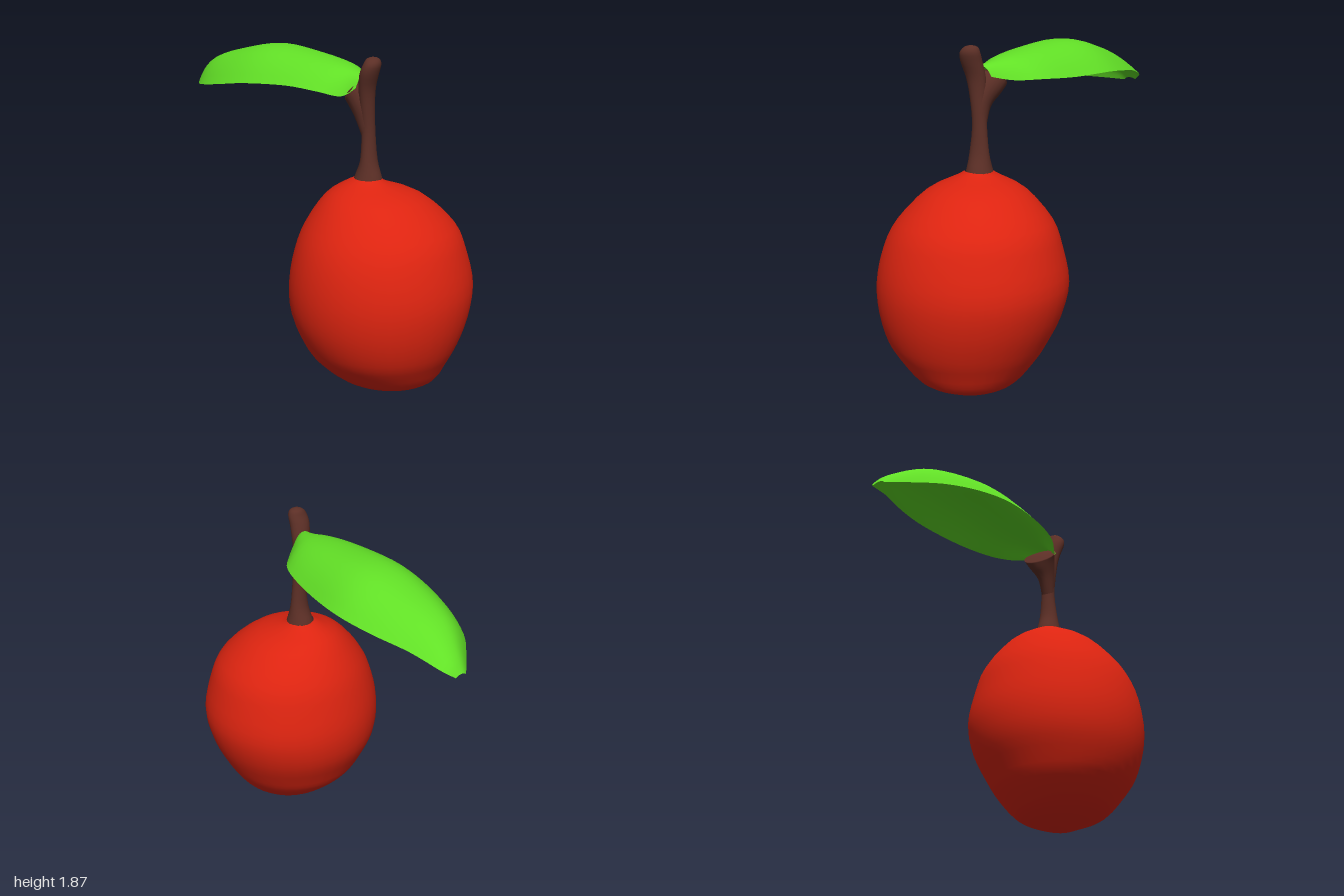
import * as THREE from 'three';

// Catmull-Rom resampling of rows of numbers
function smooth(rows, steps) {
  const out = [];
  const at = (i) => rows[Math.max(0, Math.min(rows.length - 1, i))];
  for (let i = 0; i < rows.length - 1; i++) {
    const [a, b, c, d] = [at(i - 1), at(i), at(i + 1), at(i + 2)];
    for (let s = 0; s < steps; s++) {
      const t = s / steps;
      out.push(b.map((p, k) => {
        const linear = c[k] - a[k];
        const square = 2 * a[k] - 5 * p + 4 * c[k] - d[k];
        const cube = 3 * (p - c[k]) + d[k] - a[k];
        return p + 0.5 * t * (linear + t * (square + t * cube));
      }));
    }
  }
  out.push(rows[rows.length - 1]);
  return out;
}

// Skin between rows of points
function loft(rows, closed, flip = false) {
  const n = rows[0].length, index = [];
  for (let i = 0; i < rows.length - 1; i++) {
    for (let j = 0; j < (closed ? n : n - 1); j++) {
      const k = (j + 1) % n;
      const a = i * n + j, b = i * n + k, c = a + n, d = b + n;
      if (flip) index.push(a, c, b, b, c, d);
      else index.push(a, b, c, b, d, c);
    }
  }
  const geo = new THREE.BufferGeometry();
  geo.setAttribute('position', new THREE.Float32BufferAttribute(rows.flat(2), 3));
  geo.setIndex(index);
  geo.computeVertexNormals();
  return geo;
}

// Elliptical ring: centre, in-plane half axis (ax, ay), half depth rz
function ring([cx, cy, cz, ax, ay, rz], sides) {
  return Array.from({ length: sides }, (_, j) => {
    const t = (j / sides) * Math.PI * 2;
    return [cx + ax * Math.cos(t), cy + ay * Math.cos(t), cz - rz * Math.sin(t)];
  });
}

export function createModel() {
  const red = new THREE.MeshStandardMaterial({ color: 0xdd2410 });
  red.name = 'fruitRed';
  const brown = new THREE.MeshStandardMaterial({ color: 0x5c2f26 });
  brown.name = 'stemBrown';
  const green = new THREE.MeshStandardMaterial({ color: 0x62e026 });
  green.name = 'leafGreen';

  const model = new THREE.Group();
  model.name = 'fruitWithLeaf';
  const add = (name, geo, mat, parent = model) => {
    const mesh = new THREE.Mesh(geo, mat);
    mesh.name = name;
    parent.add(mesh);
  };

  // Fruit: height, x range, z range
  const fruit = [
    [0.005, 0.53, 0.55, -0.01, 0.01],
    [0.012, 0.46, 0.63, -0.07, 0.06],
    [0.05, 0.34, 0.73, -0.19, 0.17],
    [0.1, 0.25, 0.83, -0.27, 0.28],
    [0.2, 0.14, 0.89, -0.35, 0.39],
    [0.3, 0.08, 0.94, -0.41, 0.46],
    [0.45, 0.01, 0.985, -0.48, 0.51],
    [0.62, -0.01, 1.0, -0.515, 0.52],
    [0.8, 0.02, 0.96, -0.48, 0.485],
    [0.95, 0.07, 0.89, -0.42, 0.41],
    [1.1, 0.17, 0.72, -0.27, 0.27],
    [1.17, 0.27, 0.53, -0.11, 0.13],
    [1.2, 0.33, 0.48, -0.07, 0.08],
  ].map(([y, x0, x1, z0, z1]) => [(x0 + x1) / 2, y, (z0 + z1) / 2, (x1 - x0) / 2, 0, (z1 - z0) / 2]);
  const fruitRows = smooth(fruit, 3);
  fruitRows.unshift([0.54, 0, 0, 0, 0, 0]);
  add('fruit', loft(fruitRows.map((r) => ring(r, 40)), true), red);

  // Stem with a rounded, leaning knob at the top
  const stem = [
    [0.405, 1.16, 0, 0.085, 0, 0.085],
    [0.405, 1.21, 0, 0.075, 0, 0.07],
    [0.407, 1.3, 0, 0.046, 0, 0.054],
    [0.402, 1.45, 0, 0.038, 0, 0.04],
    [0.398, 1.6, 0.01, 0.04, 0, 0.046],
    [0.402, 1.7, 0.02, 0.044, 0, 0.055],
    [0.422, 1.78, 0.035, 0.05, 0, 0.06],
    [0.439, 1.83, 0.036, 0.046, 0, 0.056],
    [0.44, 1.86, 0.03, 0.032, 0, 0.036],
    [0.44, 1.87, 0.03, 0, 0, 0],
  ];
  add('stem', loft(smooth(stem, 3).map((r) => ring(r, 18)), true), brown);

  // Short branch flaring into the leaf base
  const branch = smooth([
    [0.402, 1.43, 0, 0.036, 0, 0.036],
    [0.378, 1.55, 0, 0.055, 0.025, 0.05],
    [0.342, 1.63, -0.015, 0.055, 0.05, 0.08],
    [0.315, 1.675, -0.02, 0.046, 0.06, 0.1],
  ], 4);
  branch.push([0.313, 1.678, -0.02, 0, 0, 0]);
  add('branch', loft(branch.map((r) => ring(r, 18)), true), brown);

  // Leaf: front edge xyz, back edge xyz, crest height
  const leafRows = smooth([
    [0.36, 1.7, 0.07, 0.38, 1.7, -0.06, 1.755],
    [0.28, 1.65, 0.09, 0.32, 1.68, -0.17, 1.775],
    [0.15, 1.67, 0.13, 0.22, 1.68, -0.29, 1.8],
    [-0.05, 1.68, 0.125, 0, 1.67, -0.4, 1.825],
    [-0.35, 1.655, 0.085, -0.28, 1.67, -0.5, 1.84],
    [-0.6, 1.61, 0.01, -0.52, 1.65, -0.52, 1.79],
    [-0.8, 1.57, -0.11, -0.75, 1.62, -0.5, 1.72],
    [-0.93, 1.545, -0.27, -0.93, 1.575, -0.485, 1.62],
    [-1.0, 1.53, -0.37, -0.99, 1.535, -0.44, 1.545],
  ], 4);
  const across = 16;
  const leafSide = (thickness) => leafRows.map(([fx, fy, fz, bx, by, bz, crest], i) => {
    const taper = 1 - (i / (leafRows.length - 1)) ** 4;
    return Array.from({ length: across + 1 }, (_, j) => {
      const t = j / across, v = 2 * t - 1;
      const edge = fy + (by - fy) * t;
      const arch = (crest - edge) * (1 - Math.abs(v) ** 2.3);
      const depth = thickness * taper * Math.sqrt(1 - v * v);
      return [fx + (bx - fx) * t, edge + arch - depth, fz + (bz - fz) * t];
    });
  });
  const leaf = new THREE.Group();
  leaf.name = 'leaf';
  add('leafTop', loft(leafSide(0), false), green, leaf);
  add('leafUnderside', loft(leafSide(0.03), false, true), green, leaf);
  model.add(leaf);

  return model;
}
